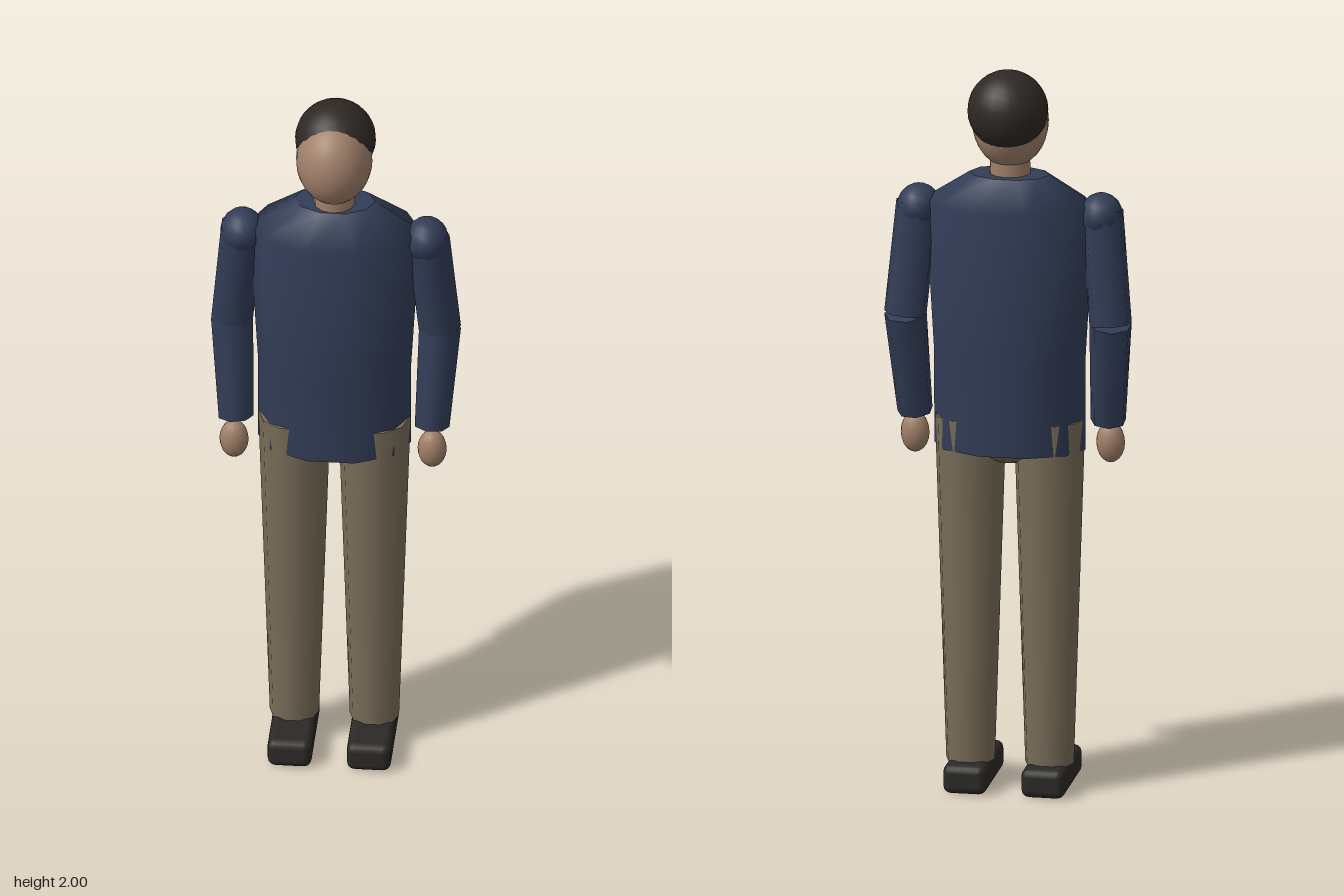
import * as THREE from 'three';
import { RoundedBoxGeometry } from 'three/addons/geometries/RoundedBoxGeometry.js';

const mat = (color) => new THREE.MeshStandardMaterial({ color });
const navy = mat(0x323d57), khaki = mat(0x786d58), skin = mat(0xa08069);
const hairMat = mat(0x2e2824), shoeMat = mat(0x2c2a28);

export function createModel() {
  const model = new THREE.Group();

  const add = (name, geometry, material, parent = model) => {
    const mesh = new THREE.Mesh(geometry, material);
    mesh.name = name;
    parent.add(mesh);
    return mesh;
  };

  const ellipsoid = (name, material, [x, y, z], [rx, ry, rz], parent, w = 24, h = 16) => {
    const mesh = add(name, new THREE.SphereGeometry(1, w, h), material, parent);
    mesh.scale.set(rx, ry, rz);
    mesh.position.set(x, y, z);
    return mesh;
  };

  // Tapered tube between two points, first corner facing +x
  const limb = (name, material, top, bottom, rTop, rBottom, sides, parent) => {
    const a = new THREE.Vector3(...top), b = new THREE.Vector3(...bottom);
    const axis = a.clone().sub(b);
    const geometry = new THREE.CylinderGeometry(rTop, rBottom, axis.length(), sides, 1, false, Math.PI / 2);
    const mesh = add(name, geometry, material, parent);
    mesh.position.copy(a).add(b).multiplyScalar(0.5);
    mesh.quaternion.setFromUnitVectors(new THREE.Vector3(0, 1, 0), axis.normalize());
    return mesh;
  };

  // Jacket: ten-sided oval rings [y, half width, half depth, centre z], bottom to top
  const rings = [
    [0.95, 0.205, 0.124, -0.021],
    [1.2, 0.205, 0.122, -0.022],
    [1.63, 0.23, 0.144, -0.022],
    [1.71, 0.108, 0.07, -0.028],
  ];
  const torso = new THREE.CylinderGeometry(1, 1, 1, 10, rings.length - 1, false, Math.PI / 2);
  const p = torso.attributes.position;
  for (let i = 0; i < p.count; i++) {
    const [y, rx, rz, cz] = rings[Math.round((p.getY(i) + 0.5) * (rings.length - 1))];
    p.setXYZ(i, p.getX(i) * rx, y, p.getZ(i) * rz + cz);
  }
  torso.computeVertexNormals();
  add('jacket', torso, navy);

  // Head, neck and hair
  limb('neck', skin, [0, 1.8, -0.018], [0, 1.69, -0.018], 0.053, 0.056, 12);
  ellipsoid('head', skin, [0, 1.85, -0.012], [0.102, 0.125, 0.111]);
  ellipsoid('hair', hairMat, [0, 1.892, -0.05], [0.108, 0.108, 0.108]);

  // Hips between the legs
  ellipsoid('hips', khaki, [0, 1.0, -0.02], [0.16, 0.095, 0.1], model, 14, 10);

  for (const s of [1, -1]) {
    const side = s > 0 ? 'left' : 'right';

    // Arm
    const arm = new THREE.Group();
    arm.name = side + 'Arm';
    model.add(arm);
    const shoulder = [s * 0.25, 1.615, -0.02];
    const elbow = [s * 0.278, 1.31, -0.046];
    const wrist = [s * 0.262, 1.025, 0.006];
    ellipsoid('shoulder', navy, [s * 0.247, 1.605, -0.02], [0.058, 0.06, 0.063], arm, 14, 10);
    limb('upperSleeve', navy, shoulder, elbow, 0.058, 0.058, 7, arm);
    limb('lowerSleeve', navy, elbow, wrist, 0.058, 0.048, 7, arm);
    ellipsoid('hand', skin, [s * 0.265, 0.962, 0.022], [0.039, 0.056, 0.033], arm, 14, 10);

    // Leg and shoe
    const leg = new THREE.Group();
    leg.name = side + 'Leg';
    model.add(leg);
    limb('trouserLeg', khaki, [s * 0.107, 1.035, -0.018], [s * 0.107, 0.075, -0.018], 0.097, 0.066, 10, leg);
    add('shoe', new RoundedBoxGeometry(0.118, 0.08, 0.282, 2, 0.022), shoeMat, leg)
      .position.set(s * 0.106, 0.04, 0.016);
  }

  return model;
}
